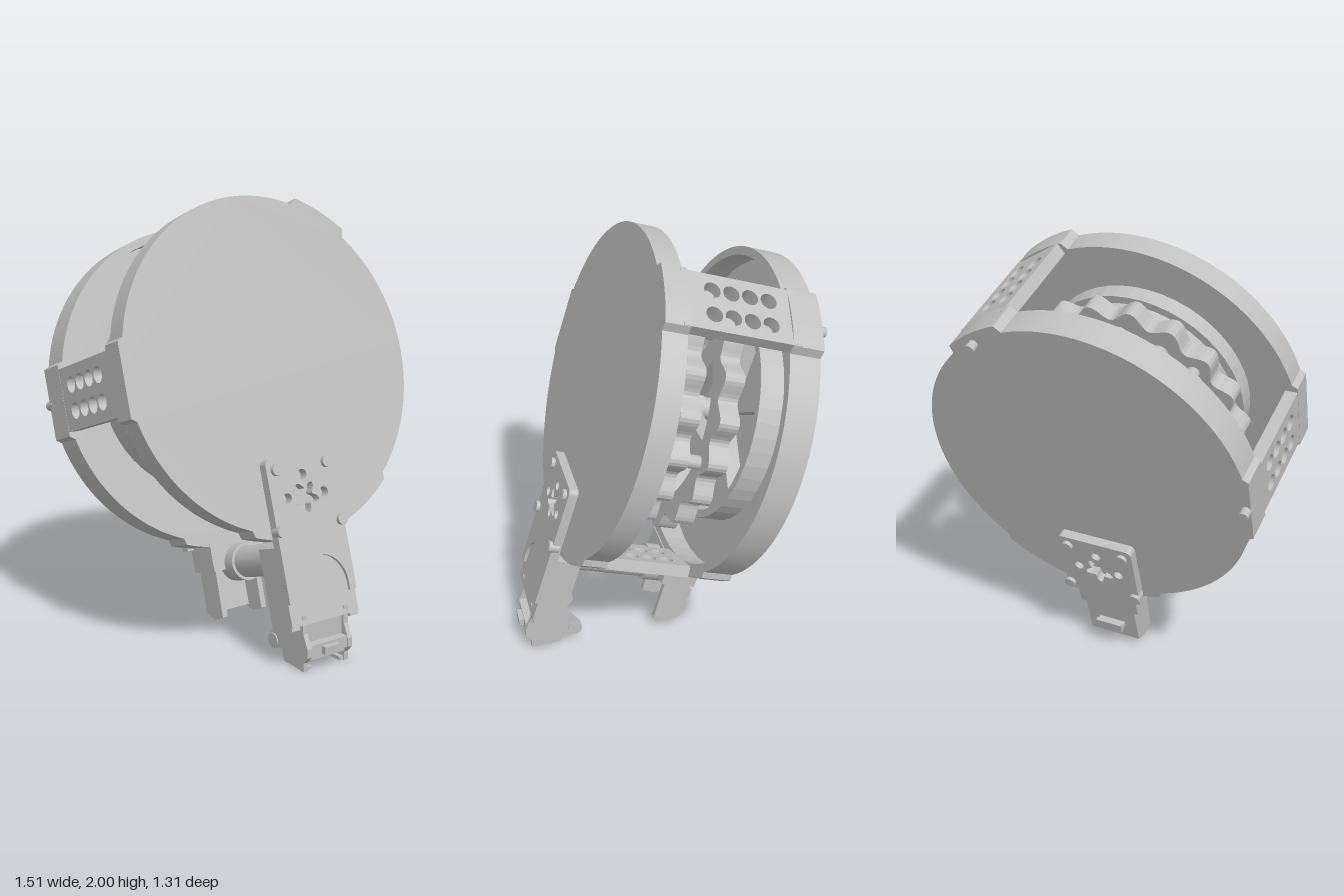
import * as THREE from 'three';

const grey = new THREE.MeshStandardMaterial({ color: 0xbfbfbf });
grey.name = 'plain grey';

function add(parent, name, geo, x = 0, y = 0, z = 0) {
  const m = new THREE.Mesh(geo, grey);
  m.name = name;
  m.position.set(x, y, z);
  parent.add(m);
  return m;
}
const box = (p, n, w, h, d, x, y, z) => add(p, n, new THREE.BoxGeometry(w, h, d), x, y, z);
// cylinder lying along z
const rod = (p, n, r, len, x, y, z, seg = 20) =>
  add(p, n, new THREE.CylinderGeometry(r, r, len, seg).rotateX(Math.PI / 2), x, y, z);
const extrude = (shape, depth) =>
  new THREE.ExtrudeGeometry(shape, { depth, bevelEnabled: false, curveSegments: 24 });
const circle = (r, x = 0, y = 0) => new THREE.Path().absarc(x, y, r, 0, Math.PI * 2, true);
const polar = (n, rule) => Array.from({ length: n }, (_, i) => {
  const a = (i / n) * Math.PI * 2;
  return new THREE.Vector2(Math.cos(a) * rule(a), Math.sin(a) * rule(a));
});
const poly = pts => new THREE.Shape(pts.map(p => new THREE.Vector2(p[0], p[1])));
const deg = Math.PI / 180;

// Drum outline: a circle with raised pads where the struts meet it
function drumRadius(a) {
  const d = a / deg;
  if (Math.abs(d - 180) < 12.7) return 0.755 / Math.cos((d - 180) * deg);
  if (Math.abs(d - 59) < 11.5) return 0.785;
  return d > 250 && d < 312 ? 0.775 : 0.75;
}

// Shallow cup: thin cover and rim
function cup(parent, name, outer, dir, depth) {
  const g = new THREE.Group();
  g.name = name;
  parent.add(g);
  const outline = polar(240, drumRadius);
  const t = 0.03;
  add(g, 'cover', extrude(new THREE.Shape(outline), t), 0, 0, dir > 0 ? outer - t : outer);
  const rim = new THREE.Shape(outline);
  rim.holes.push(circle(0.712));
  add(g, 'rim', extrude(rim, depth - t), 0, 0, dir > 0 ? outer - depth : outer + t);
}

// Perforated strut between the two cups
function strut(parent, angle, top, half) {
  const s = poly([[-half, -0.26], [half, -0.26], [half, 0.26], [-half, 0.26]]);
  for (const u of [-0.058, 0.058])
    for (let i = 0; i < 4; i++) s.holes.push(circle(0.036, u, -0.126 + i * 0.084));
  const geo = extrude(s, 0.055).rotateX(-Math.PI / 2).translate(0, top - 0.055, 0.01);
  add(parent, 'strut', geo).rotation.z = (angle - 90) * deg;
}

// Scalloped wheel with spokes
function starWheel(parent, z) {
  const s = new THREE.Shape(polar(216, a => 0.535 + 0.028 * Math.cos(a * 18)));
  const n = 6;
  for (let i = 0; i < n; i++) {
    const a0 = (i / n) * Math.PI * 2 + 0.12, a1 = ((i + 1) / n) * Math.PI * 2 - 0.12;
    const h = new THREE.Path();
    h.absarc(0, 0, 0.43, a0, a1, false);
    h.absarc(0, 0, 0.16, a1 - 0.15, a0 + 0.15, true);
    h.closePath();
    s.holes.push(h);
  }
  add(parent, 'starWheel', extrude(s, 0.09), 0, 0, z - 0.045);
}

function ring(parent, name, r, wall, z0, z1, y) {
  const s = new THREE.Shape().absarc(0, 0, r, 0, Math.PI * 2);
  s.holes.push(circle(r - wall));
  add(parent, name, extrude(s, z1 - z0), 0, y, z0);
}

// Mounting plate with a star opening, three round holes and four screws;
// the bottom edge may carry a half-round notch
function mountPlate(parent, name, bottom, z, dir, notch) {
  const g = new THREE.Group();
  g.name = name;
  parent.add(g);
  const cx = 0.01, w = 0.185, r = 0.025, top = -0.414;
  const s = new THREE.Shape();
  s.moveTo(cx + w, bottom).lineTo(cx + w, top - r);
  s.absarc(cx + w - r, top - r, r, 0, Math.PI / 2);
  s.absarc(cx - w + r, top - r, r, Math.PI / 2, Math.PI);
  s.lineTo(cx - w, bottom);
  if (notch) s.lineTo(cx - notch, bottom).absarc(cx, bottom + 0.035, notch, Math.PI, 0, true).lineTo(cx + notch, bottom);
  const star = polar(60, a => 0.054 + 0.018 * Math.cos(5 * (a + Math.PI / 2)));
  s.holes.push(new THREE.Path(star.map(p => p.add(new THREE.Vector2(cx, -0.598)))));
  for (const [x, y] of [[0, -0.5], [-0.1, -0.592], [0.1, -0.592]]) s.holes.push(circle(0.023, cx + x, y));
  add(g, 'plate', extrude(s, 0.045), 0, 0, z - 0.0225);
  for (const [x, y] of [[0.137, -0.463], [0.167, -0.725]])
    for (const side of [-1, 1]) rod(g, 'screw', 0.026, 0.05, cx + side * x, y, z + dir * 0.015, 16);
}

// Side profile given as [z, y], extruded along x
function sidePlate(parent, name, pts, x, w) {
  const geo = extrude(poly(pts.map(([z, y]) => [-z, y])), w).rotateY(Math.PI / 2);
  add(parent, name, geo, x - w / 2, 0, 0);
}

export function createModel() {
  const model = new THREE.Group();
  model.name = 'drum';
  const drum = new THREE.Group();
  drum.name = 'tiltedDrum';
  drum.position.set(0, 1.18, -0.09);
  drum.rotation.x = -17.5 * deg;
  model.add(drum);

  // Casing
  cup(drum, 'frontCup', 0.35, 1, 0.11);
  cup(drum, 'backCup', -0.35, -1, 0.14);
  strut(drum, 58, 0.776, 0.135);
  strut(drum, 180, 0.754, 0.14);
  strut(drum, 289, 0.766, 0.14);
  for (const a of [57, 180])
    rod(drum, 'caseBolt', 0.022, 0.06, Math.cos(a * deg) * 0.735, Math.sin(a * deg) * 0.735, -0.36, 14);

  // Inner wheels, rings, ribs, axle and rods
  for (const z of [0.115, -0.062]) starWheel(drum, z);
  for (let i = 0; i < 5; i++) {
    const a = (140 + i * 72) * deg;
    rod(drum, 'wheelRod', 0.03, 0.12, Math.cos(a) * 0.47, Math.sin(a) * 0.47, 0.026, 12);
  }
  ring(drum, 'frontRing', 0.4, 0.04, 0.05, 0.325, 0.06);
  ring(drum, 'frontOuterRing', 0.5, 0.035, 0.24, 0.325, 0);
  ring(drum, 'backRing', 0.5, 0.035, -0.325, -0.21, 0);
  for (let i = 0; i < 6; i++) {
    const a = (30 + i * 60) * deg;
    box(drum, 'backRib', 0.4, 0.03, 0.08, Math.cos(a) * 0.27, Math.sin(a) * 0.27, -0.285).rotation.z = a;
  }
  rod(drum, 'axle', 0.05, 0.65, 0, 0, 0);
  rod(drum, 'hub', 0.09, 0.2, 0, 0, 0.02);

  // Front bracket and its leg
  const cx = 0.01;
  mountPlate(drum, 'frontBracket', -1.035, 0.37, 1, 0.148);
  box(drum, 'frontLeg', 0.37, 0.345, 0.145, cx, -0.9625, 0.306);
  for (const s of [-1, 1]) box(drum, 'legFoot', 0.045, 0.025, 0.08, cx + s * 0.162, -1.138, 0.33);

  // Cross tube
  rod(drum, 'crossTube', 0.075, 0.5, cx, -0.86, 0.02, 24);
  rod(drum, 'tubeCollar', 0.088, 0.1, cx, -0.86, -0.19, 24);

  // Back bracket and its channel-shaped leg
  mountPlate(drum, 'backBracket', -0.77, -0.372, -1, 0);
  box(drum, 'backBlock', 0.3, 0.13, 0.17, cx, -0.815, -0.29);
  for (const s of [-1, 1])
    sidePlate(drum, 'backLegSide', [[-0.37, -0.76], [-0.23, -0.76], [-0.24, -1.1], [-0.31, -1.11], [-0.37, -1.08]], cx + s * 0.112, 0.028);
  box(drum, 'backLegWeb', 0.25, 0.33, 0.03, cx, -0.915, -0.355);
  box(drum, 'backHook', 0.13, 0.025, 0.05, cx, -0.985, -0.385);
  box(drum, 'backHookLip', 0.13, 0.05, 0.018, cx, -0.98, -0.405);

  // Lower clip under the front leg
  const clip = new THREE.Group();
  clip.name = 'frontClip';
  model.add(clip);
  for (const s of [-1, 1]) {
    sidePlate(clip, 'clipSide', [[0.605, 0.25], [0.456, 0.25], [0.44, 0.19], [0.375, 0.1], [0.39, 0.045],
      [0.465, 0.06], [0.475, 0.01], [0.615, 0], [0.615, 0.04], [0.64, 0.07], [0.64, 0.11], [0.61, 0.17]], cx + s * 0.113, 0.024);
    add(clip, 'clipPivot', new THREE.CylinderGeometry(0.034, 0.034, 0.035, 16).rotateZ(Math.PI / 2), cx + s * 0.113, 0.077, 0.402);
    box(clip, 'clipLip', 0.04, 0.016, 0.13, cx + s * 0.1, 0.01, 0.545);
  }
  box(clip, 'clipBody', 0.23, 0.12, 0.13, cx, 0.18, 0.53);
  box(clip, 'clipFront', 0.22, 0.05, 0.04, cx, 0.095, 0.615);
  box(clip, 'clipBar', 0.22, 0.02, 0.05, cx, 0.055, 0.59);
  box(clip, 'clipCatch', 0.08, 0.035, 0.04, cx, 0.09, 0.638);
  return model;
}
